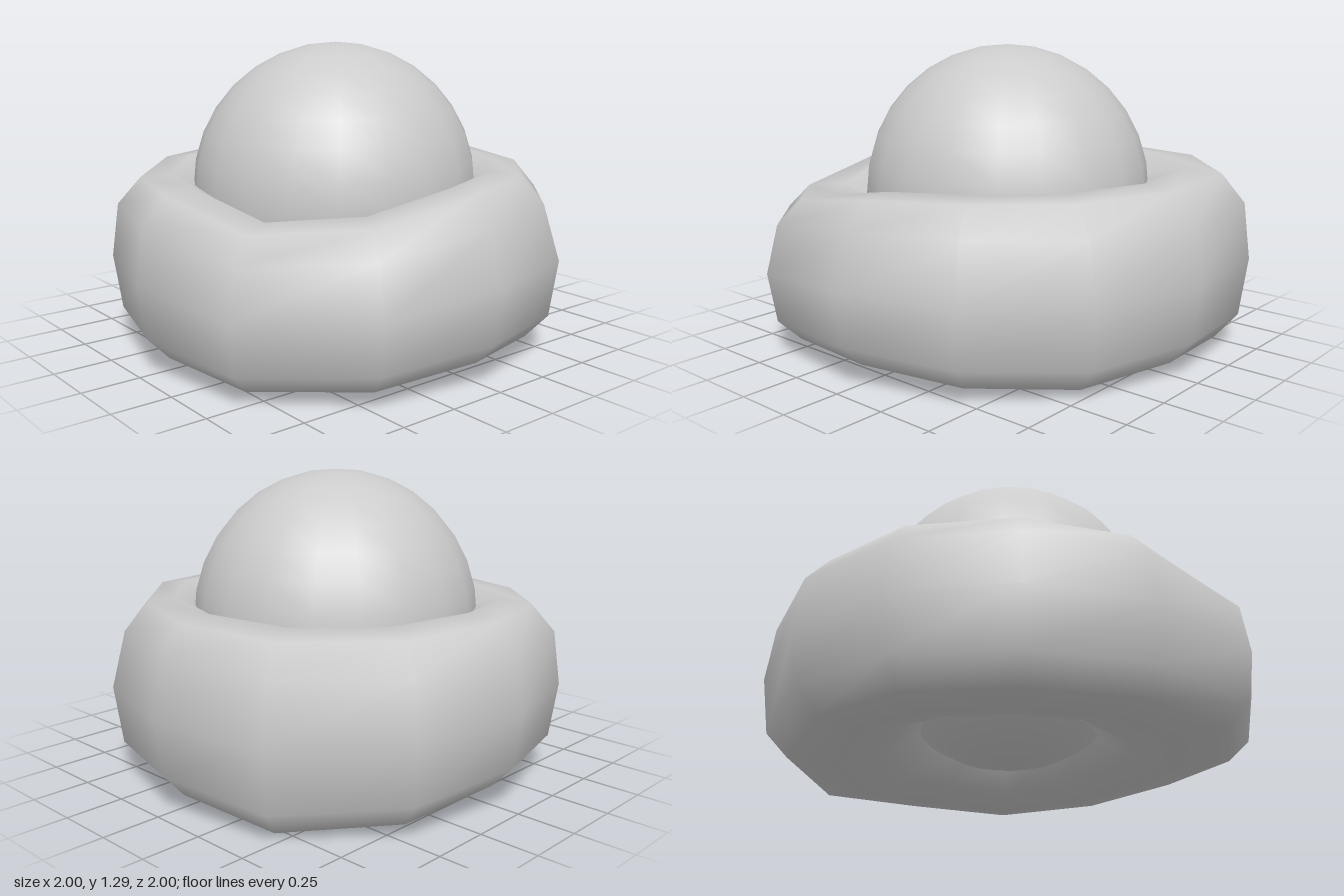
import * as THREE from 'three';

// Shape of the cushion every 30 degrees, from +x towards +z
const RADII = [1, 1.06, 1.06, 0.995, 0.985, 0.99, 1, 1.065, 1.07, 1, 0.985, 0.995];
const TOPS = [0.75, 0.68, 0.65, 0.73, 0.735, 0.755, 0.77, 0.77, 0.77, 0.77, 0.77, 0.77];
const BOTTOMS = [0.06, 0.04, 0.02, 0.03, 0.02, 0.04, 0.06, 0.03, 0, 0.03, 0.015, 0.04];
// How far the upper shoulder steps in
const INSETS = [0.04, 0.02, 0, 0, 0, 0, 0, 0, 0, 0.01, 0.03, 0.04];

// Cross-section as [radius, height 0..1], outside -> top -> inside -> bottom
const PROFILE = [
  [1, 0.5], [0.97, 0.82], [0.87, 0.98], [0.73, 1], [0.57, 0.88], [0.42, 0.65],
  [0.36, 0.4], [0.385, 0.18], [0.52, 0.06], [0.7, 0], [0.87, 0.03], [0.965, 0.17],
];

// Closed ring lofted through the uneven cross-sections
function cushionGeometry() {
  const n = RADII.length, m = PROFILE.length;
  const positions = [], indices = [];
  for (let i = 0; i < n; i++) {
    const a = (i / n) * Math.PI * 2;
    for (const [radius, height] of PROFILE) {
      // only the outer half follows the uneven outline
      const outward = THREE.MathUtils.clamp((radius - 0.55) / 0.32, 0, 1);
      const inset = height > 0.7 ? INSETS[i] : 0;
      const r = radius + (RADII[i] - 1 - inset) * outward;
      const y = THREE.MathUtils.lerp(BOTTOMS[i], TOPS[i], height);
      positions.push(Math.cos(a) * r, y, Math.sin(a) * r);
    }
    for (let j = 0; j < m; j++) {
      const i2 = (i + 1) % n, j2 = (j + 1) % m;
      const p = i * m + j, q = i * m + j2, s = i2 * m + j, t = i2 * m + j2;
      indices.push(p, q, s, q, t, s);
    }
  }
  const geometry = new THREE.BufferGeometry();
  geometry.setAttribute('position', new THREE.Float32BufferAttribute(positions, 3));
  geometry.setIndex(indices);
  geometry.computeVertexNormals();
  return geometry;
}

export function createModel() {
  const model = new THREE.Group();
  const material = new THREE.MeshStandardMaterial({ color: 0xcccccc });

  // Lumpy ring the ball rests in
  const cushion = new THREE.Mesh(cushionGeometry(), material);
  cushion.name = 'cushionRing';

  // Ball seated in the hole of the ring, a touch narrower across x
  const ball = new THREE.Mesh(new THREE.SphereGeometry(0.632, 20, 16), material);
  ball.name = 'ball';
  ball.position.set(-0.005, 0.662, 0);
  ball.scale.x = 0.975;

  model.add(cushion, ball);
  return model;
}
